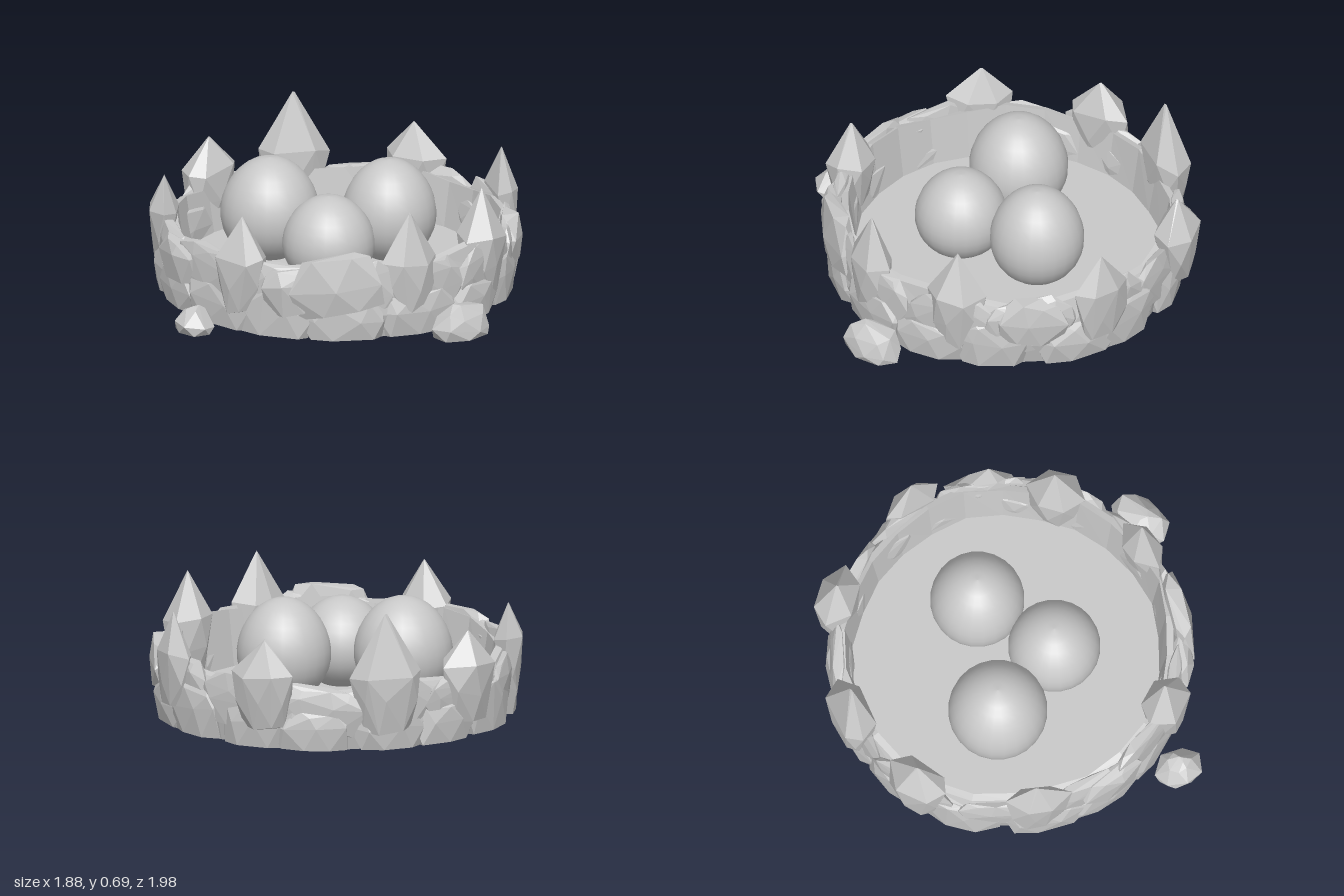
import * as THREE from 'three';
import { ConvexGeometry } from 'three/addons/geometries/ConvexGeometry.js';

const CZ = -0.03; // ring centre in z

export function createModel() {
  const group = new THREE.Group();
  const stone = new THREE.MeshStandardMaterial({ color: 0xc8c8c8 });
  stone.name = 'stone grey';

  let seed = 7;
  const rand = () => (seed = (seed * 16807) % 2147483647) / 2147483647;
  const vary = (a) => (rand() * 2 - 1) * a;

  const add = (name, geometry, x = 0, y = 0, z = 0, turn = 0, tilt = 0) => {
    const mesh = new THREE.Mesh(geometry, stone);
    mesh.name = name;
    mesh.position.set(x, y, z);
    mesh.rotation.set(0, turn, tilt);
    group.add(mesh);
  };

  // Direction that lays a stone along the ring
  const along = (x, z) => Math.PI / 2 - Math.atan2(z - CZ, x);

  // Faceted boulder: hull of a few uneven rings; each ring is [height, scale]
  const boulder = (w, d, rings, sides, rough) => {
    const points = [];
    rings.forEach(([y, s], row) => {
      for (let i = 0; i < sides; i++) {
        const a = ((i + (row % 2) * 0.5 + vary(0.2)) / sides) * Math.PI * 2;
        const k = s * (1 + vary(rough));
        points.push(new THREE.Vector3(Math.cos(a) * w * k, y + (y > 0 ? vary(0.02) : 0), Math.sin(a) * d * k));
      }
    });
    return new ConvexGeometry(points);
  };

  // Floor slab
  add('floor', new THREE.CylinderGeometry(0.79, 0.84, 0.08, 28), 0, 0.04, CZ);

  // Inner wall, a closed ring with an uneven outside and a rim that rises to the front
  const profile = [[0.85, 0], [0.88, 0.12], [0.865, 0.26], [0.84, 0.33], [0.805, 0.34], [0.765, 0.07], [0.85, 0]]
    .map(([x, y]) => new THREE.Vector2(x, y));
  const wall = new THREE.LatheGeometry(profile, 26);
  const p = wall.attributes.position;
  for (let i = 0; i < p.count; i++) {
    const a = Math.atan2(p.getZ(i), p.getX(i));
    const k = 1 + 0.01 * Math.sin(5 * a + 1) + 0.008 * Math.sin(9 * a);
    const lift = p.getY(i) > 0.3 ? 0.03 * Math.sin(a) + 0.02 * Math.sin(7 * a + 2) : 0;
    p.setXYZ(i, p.getX(i) * k, p.getY(i) + lift, p.getZ(i) * k);
  }
  const flatWall = wall.toNonIndexed();
  flatWall.computeVertexNormals();
  add('innerWall', flatWall, 0, 0, CZ);

  // Two courses of stones around the wall
  const course = (name, count, offset, radius, half, depth, tilt, rings) => {
    for (let i = 0; i < count; i++) {
      const a = ((i + offset + vary(0.15)) / count) * Math.PI * 2;
      const x = Math.cos(a) * radius, z = CZ + Math.sin(a) * radius;
      const geo = boulder(half * (1 + vary(0.12)), depth, rings(a), 7, 0.08);
      add(name, geo, x, 0, z, along(x, z), vary(tilt));
    }
  };
  course('lowerStone', 15, 0, 0.835, 0.22, 0.075, 0, () => {
    const h = 0.22 + vary(0.04);
    return [[0, 0.85], [h * 0.55, 1], [h * 0.9, 0.85], [h, 0.6]];
  });
  course('upperStone', 13, 0.4, 0.845, 0.23, 0.045, 0.15, (a) => {
    const h = 0.345 + 0.03 * Math.sin(a) + vary(0.025);
    return [[0.1, 0.8], [0.21, 1], [h - 0.06, 0.95], [h, 0.65]];
  });

  // Pointed stones: x, z, tip height, half width, half depth
  const spikes = [
    [-0.05, -0.895, 0.69, 0.19, 0.105],
    [0.53, -0.73, 0.55, 0.17, 0.11],
    [-0.51, -0.73, 0.55, 0.17, 0.11],
    [-0.84, -0.22, 0.55, 0.17, 0.075],
    [0.865, -0.19, 0.58, 0.16, 0.065],
    [0.63, 0.49, 0.63, 0.15, 0.12],
    [0.21, 0.78, 0.63, 0.15, 0.09],
    [-0.6, 0.57, 0.6, 0.14, 0.12],
  ];
  for (const [x, z, tip, w, d] of spikes) {
    const rings = [[0.1, 0.65], [0.24, 0.88], [0.38, 1], [tip - 0.012, 0.04]];
    add('spike', boulder(w, d, rings, 6, 0.06), x, 0, z, along(x, z));
  }

  // Crests along the rim: x, z, height, half width, tilt
  for (const [x, z, h, w, tilt] of [
    [-0.13, 0.82, 0.42, 0.26, 0.12],
    [-0.36, 0.75, 0.34, 0.17, 0.1],
    [0.83, 0.2, 0.37, 0.2, -0.08],
    [-0.83, 0.2, 0.34, 0.19, 0.08],
  ]) {
    add('rimStone', boulder(w, 0.07, [[0.14, 0.8], [0.28, 1], [h, 0.65]], 6, 0.08), x, 0, z, along(x, z), tilt);
  }

  // Loose rocks on the ground
  add('looseRock', boulder(0.105, 0.125, [[0, 0.9], [0.04, 1], [0.1, 0.5], [0.12, 0.2]], 7, 0.05), -0.835, 0, 0.545);
  add('looseRock', boulder(0.165, 0.12, [[0, 0.95], [0.05, 1], [0.12, 0.75], [0.15, 0.3]], 7, 0.05), 0.45, 0, 0.865, 0.45);

  // Eggs: x, z, radius, half height, top
  for (const [x, z, r, h, top] of [
    [-0.305, -0.21, 0.247, 0.265, 0.605],
    [0.275, -0.08, 0.235, 0.262, 0.6],
    [-0.085, 0.185, 0.23, 0.23, 0.525],
  ]) {
    const outline = [];
    for (let i = 0; i <= 16; i++) {
      const t = -Math.PI / 2 + (i / 16) * Math.PI;
      const taper = 1 - 0.08 * Math.sin(t);
      outline.push(new THREE.Vector2(Math.max(0, Math.cos(t)) * r * taper, Math.sin(t) * h));
    }
    add('egg', new THREE.LatheGeometry(outline, 24), x, top - h, z);
  }

  return group;
}
